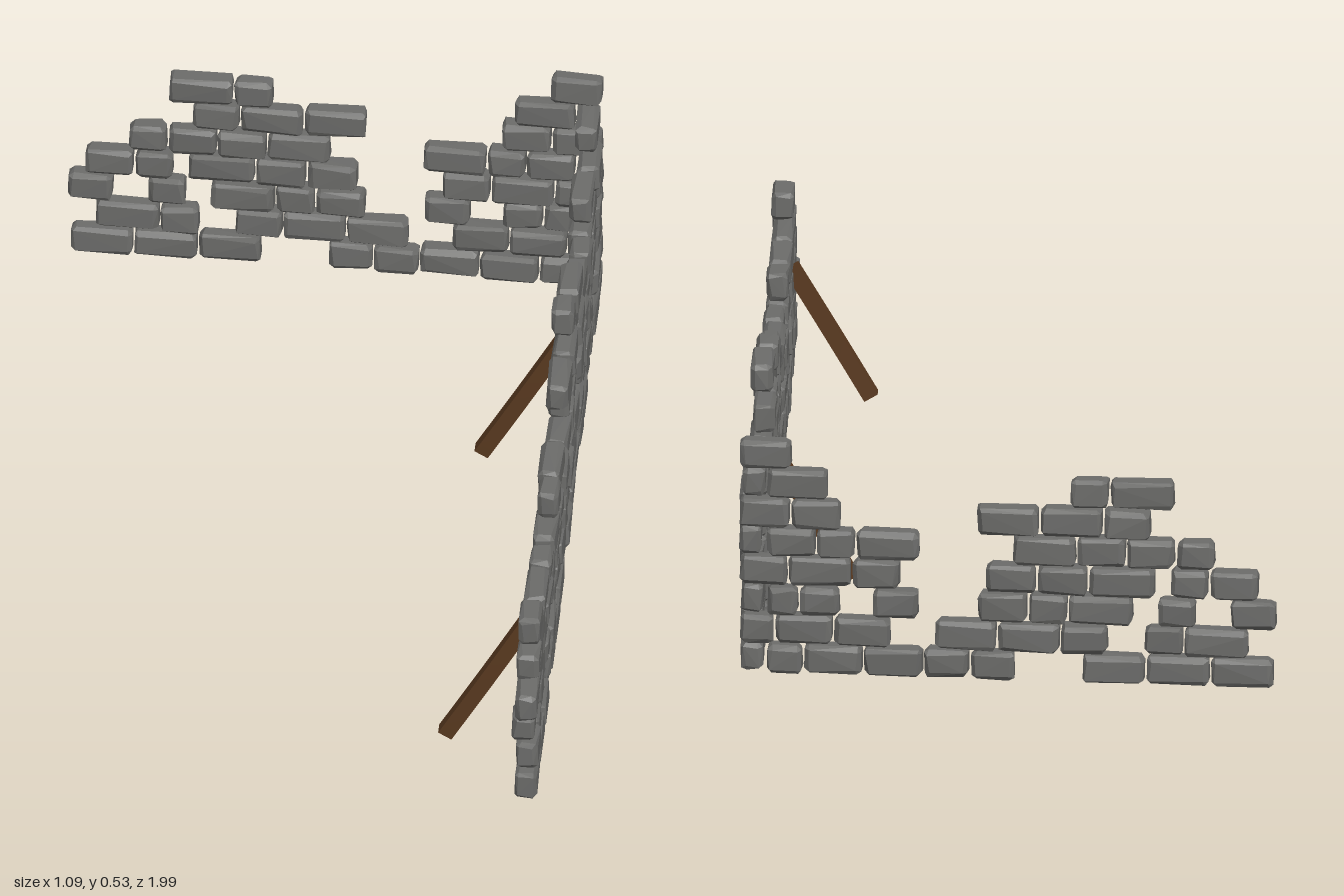
import * as THREE from 'three';
import { mergeGeometries } from 'three/addons/utils/BufferGeometryUtils.js';
import { ConvexGeometry } from 'three/addons/geometries/ConvexGeometry.js';

const stone = new THREE.MeshStandardMaterial({ color: 0x6c6c6a });
stone.name = 'grey stone';
const wood = new THREE.MeshStandardMaterial({ color: 0x5a3a20 });
wood.name = 'brown wood';

// Courses from the ground up; each run is [start, end, stone sizes]
const BACK = [
  [[-0.543, -0.154, 'LLL'], [-0.022, 0.48, 'MMLLS']],
  [[-0.493, -0.28, 'LS'], [-0.21, 0.143, 'MLL'], [0.228, 0.535, 'LLS']],
  [[-0.549, -0.454, 'M'], [-0.387, -0.307, 'S'], [-0.26, 0.055, 'LSM'], [0.172, 0.267, 'M'], [0.33, 0.48, 'MS']],
  [[-0.513, -0.332, 'MS'], [-0.304, 0.04, 'LMM'], [0.21, 0.535, 'MLM']],
  [[-0.425, -0.015, 'SMML'], [0.17, 0.48, 'LSM']],
  [[-0.296, 0.057, 'MLL'], [0.328, 0.535, 'MM']],
  [[-0.343, -0.13, 'LS'], [0.354, 0.48, 'L']],
  [[0.428, 0.535, 'M']],
];
const SIDE = [
  [[0.997, -0.03, 'LLLSMLLMM'], [-0.06, -0.922, 'MLMLMSLM']],
  [[0.98, 0.72, 'MMS'], [0.645, 0.43, 'ML'], [0.4, -0.22, 'SMLSMMM'], [-0.265, -0.7, 'LMLM'], [-0.76, -0.88, 'L']],
  [[0.975, 0.905, 'S'], [0.84, 0.535, 'SSSM'], [0.48, 0.4, 'M'], [0.345, 0.13, 'SSS'], [0.045, -0.25, 'MML'],
    [-0.33, -0.6, 'MLS'], [-0.65, -0.73, 'M'], [-0.805, -0.922, 'L']],
  [[0.997, 0.43, 'LLMLM'], [0.405, 0.205, 'LS'], [0.175, -0.88, 'LLSLMSMMLMS']],
  [[0.94, 0.515, 'SLLS'], [0.345, 0.135, 'SL'], [-0.025, -0.922, 'LLLLSSLM']],
  [[0.905, 0.81, 'M'], [0.045, -0.4, 'LLMM'], [-0.64, -0.88, 'LL']],
  [[-0.135, -0.335, 'SL'], [-0.805, -0.922, 'L']],
];
const SIZE = { S: 0.08, M: 0.1, L: 0.13 };
const COURSE = 0.0622, BASE = 0.038, HEIGHT = 0.06, DEPTH = 0.048, JOINT = 0.003;

let seed = 7;
const rand = (a, b) => {
  seed = (seed * 16807) % 2147483647;
  return a + (b - a) * (seed / 2147483647);
};

// Rough-hewn block: a box whose corners are unevenly cut away
function stoneGeometry(length) {
  const points = [];
  for (const sx of [-1, 1]) for (const sy of [-1, 1]) for (const sz of [-1, 1]) {
    const x = length / 2 - rand(0, 0.003);
    const y = HEIGHT / 2 - rand(0, 0.002);
    const z = DEPTH / 2 - rand(0, 0.004);
    const cut = () => rand(0.004, 0.012);
    points.push(
      new THREE.Vector3(sx * x, sy * (y - cut()), sz * (z - cut())),
      new THREE.Vector3(sx * (x - cut()), sy * y, sz * (z - cut())),
      new THREE.Vector3(sx * (x - cut()), sy * (y - cut()), sz * z),
    );
  }
  return new ConvexGeometry(points);
}

// Lays every course of a wall; place() turns and moves a stone at position t
function wall(name, courses, place) {
  const group = new THREE.Group();
  group.name = name;
  courses.forEach((runs, row) => {
    const stones = [];
    for (const [start, end, sizes] of runs) {
      const total = [...sizes].reduce((sum, s) => sum + SIZE[s], 0);
      let t = start;
      for (const s of sizes) {
        const step = (end - start) * SIZE[s] / total;
        const g = stoneGeometry(Math.abs(step) - JOINT);
        place(g, t + step / 2, BASE + HEIGHT / 2 + row * COURSE, rand(-0.005, 0.005));
        stones.push(g);
        t += step;
      }
    }
    const mesh = new THREE.Mesh(mergeGeometries(stones), stone);
    mesh.name = `${name}Course${row + 1}`;
    group.add(mesh);
  });
  return group;
}

// Slightly bowed plank leaning on the inside of the side wall
function prop(name, z) {
  const bottom = new THREE.Vector3(0.331, 0.014, z - 0.004);
  const top = new THREE.Vector3(0.492, 0.285, z + 0.006);
  const dir = top.clone().sub(bottom);
  const length = dir.length();
  const g = new THREE.BoxGeometry(0.031, length, 0.029, 1, 4, 1);
  const p = g.attributes.position;
  for (let i = 0; i < p.count; i++) {
    const u = p.getY(i) / length;
    p.setZ(i, p.getZ(i) + 0.003 * Math.cos(u * Math.PI));
  }
  g.computeVertexNormals();
  const mesh = new THREE.Mesh(g, wood);
  mesh.name = name;
  mesh.quaternion.setFromUnitVectors(new THREE.Vector3(0, 1, 0), dir.normalize());
  mesh.position.copy(bottom).add(top).multiplyScalar(0.5);
  return mesh;
}

export function createModel() {
  const model = new THREE.Group();
  model.name = 'ruinedWall';
  // Back wall runs slightly askew
  model.add(wall('backWall', BACK, (g, x, y, shift) => {
    g.rotateY(-0.058);
    g.translate(x, y, -0.94 + 0.058 * x + shift);
  }));
  model.add(wall('sideWall', SIDE, (g, z, y, shift) => {
    g.rotateY(Math.PI / 2);
    g.translate(0.509 + shift, y, z);
  }));
  model.add(prop('frontProp', 0.722), prop('rearProp', -0.312));
  return model;
}
